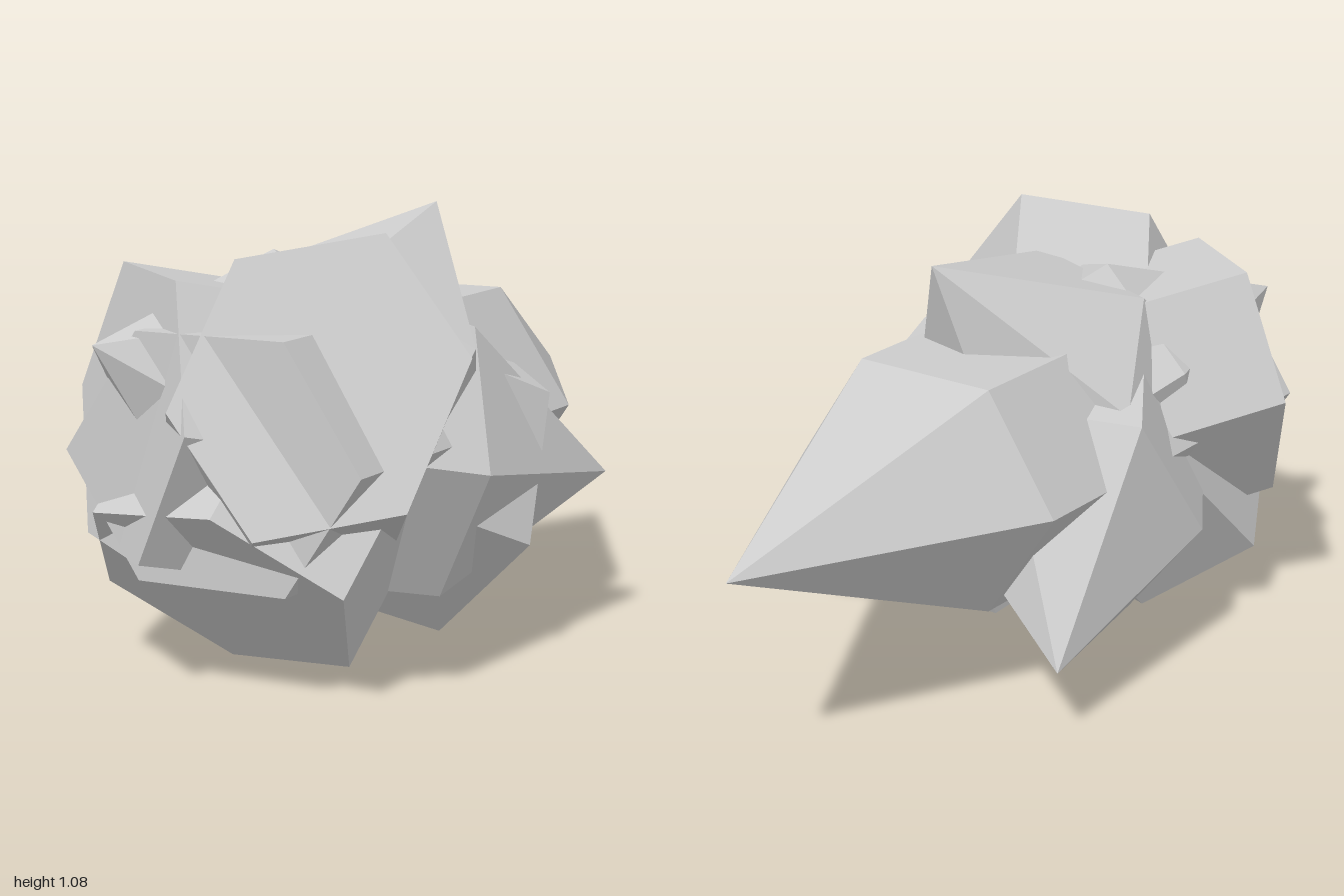
import * as THREE from 'three';

const RADIUS = 0.395;    // half width across the two far corners
const FLATTEN = 0.863;   // sections are slightly squashed hexagons
const SHOULDER = 0.6;    // share of the length before the point starts

// Each crystal: centre of its flat base, its tip, and the direction of its widest corner
const CRYSTALS = [
  { name: 'mainCrystal', base: [0.02, 0.565, 0.88], tip: [0.02, 0.565, -1], corner: [1, 0, 0] },
  { name: 'rightBaseCrystal', base: [-0.255, 0.655, 0.785], tip: [0.52, 0.4, -0.25], corner: [-0.13, 0.325, -0.178] },
  { name: 'leftBaseCrystal', base: [0.255, 0.75, 0.78], tip: [-0.44, 0.2, -0.32], corner: [0.06, 0.325, -0.2] },
  { name: 'upperCrystal', base: [-0.03, 0.235, 0.75], tip: [0.1, 1.09, -0.11], corner: [-0.38, -0.04, -0.095] },
  { name: 'forwardCrystal', base: [0.22, 0.39, -0.01], tip: [-0.25, 0.83, 0.95], corner: [0.02, -0.33, 0.19] },
];

// Six-sided column with a flat base and a pointed end
function makeCrystal({ name, base, tip, corner }, material) {
  const start = new THREE.Vector3(...base);
  const axis = new THREE.Vector3(...tip).sub(start);
  const length = axis.length();
  axis.normalize();

  const profile = [
    [0, 0], [RADIUS, 0], [RADIUS, length * SHOULDER], [0, length],
  ].map(([r, y]) => new THREE.Vector2(r, y));
  const geometry = new THREE.LatheGeometry(profile, 6);
  geometry.scale(FLATTEN, 1, 1);

  // Turn the column along its axis, with the widest corner on local z
  const wide = new THREE.Vector3(...corner);
  wide.addScaledVector(axis, -wide.dot(axis)).normalize();
  const side = new THREE.Vector3().crossVectors(axis, wide);
  geometry.applyMatrix4(new THREE.Matrix4().makeBasis(side, axis, wide).setPosition(start));

  const mesh = new THREE.Mesh(geometry, material);
  mesh.name = name;
  return mesh;
}

export function createModel() {
  const group = new THREE.Group();
  group.name = 'crystalCluster';
  const stone = new THREE.MeshStandardMaterial({ color: 0xcccccc, flatShading: true });
  stone.name = 'pale grey stone';
  for (const crystal of CRYSTALS) group.add(makeCrystal(crystal, stone));
  return group;
}
